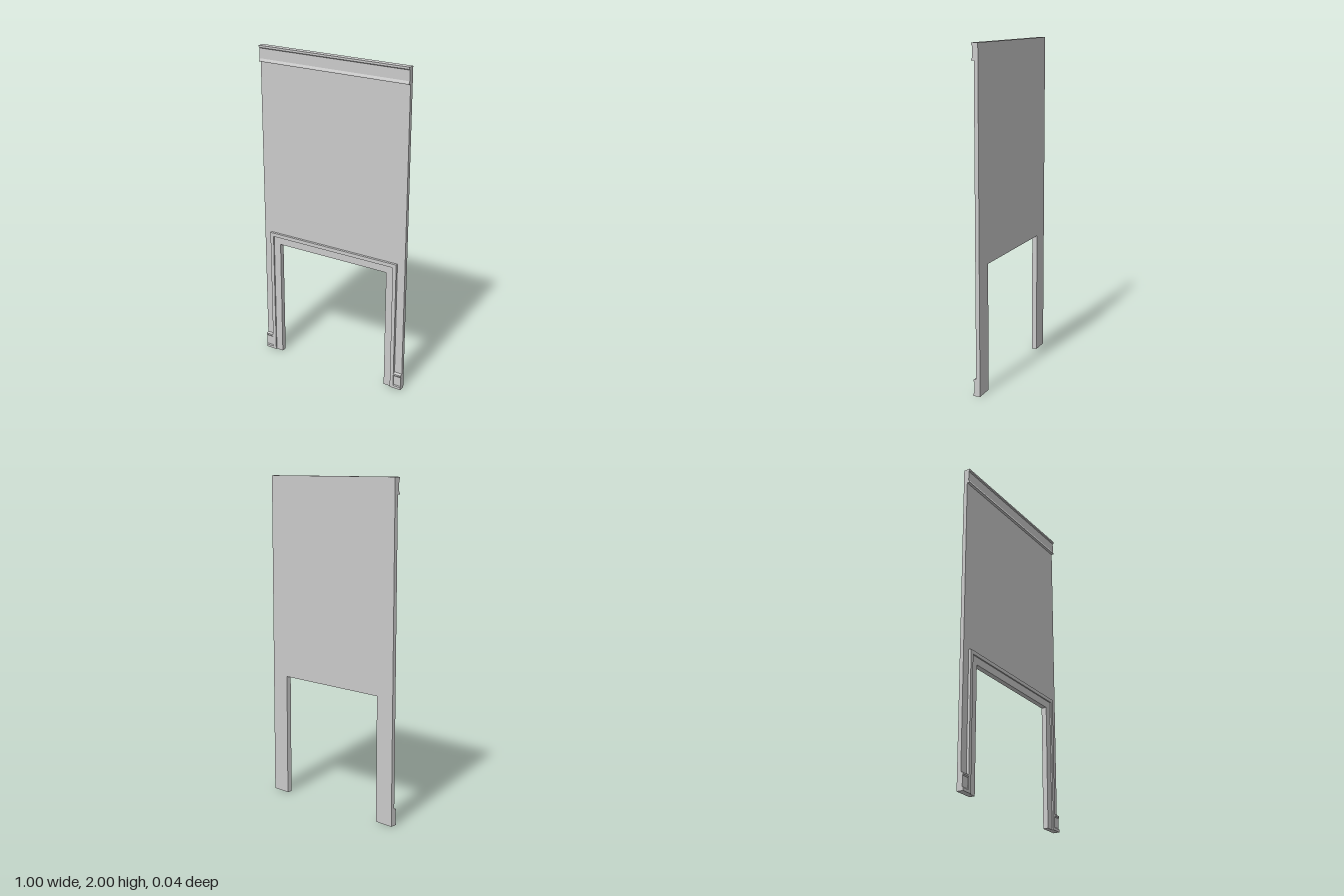
import * as THREE from 'three';

const BACK = -0.02, WALL = 0.004, FRONT = 0.02;
const material = new THREE.MeshStandardMaterial({ color: 0xcccccc, flatShading: true });

function addMesh(group, name, geometry) {
  const mesh = new THREE.Mesh(geometry, material);
  mesh.name = name;
  group.add(mesh);
}

// Upright arch: outer rectangle with an opening that reaches the floor
function arch(outerX, outerY, innerX, innerY, z0, z1) {
  const shape = new THREE.Shape([
    [-outerX, 0], [-innerX, 0], [-innerX, innerY], [innerX, innerY],
    [innerX, 0], [outerX, 0], [outerX, outerY], [-outerX, outerY],
  ].map(([x, y]) => new THREE.Vector2(x, y)));
  const geometry = new THREE.ExtrudeGeometry(shape, { depth: z1 - z0, bevelEnabled: false });
  return geometry.translate(0, 0, z0);
}

// Moulding: a (z, y) profile swept along x from x0 to x1
function moulding(profile, x0, x1) {
  const shape = new THREE.Shape(profile.map(([z, y]) => new THREE.Vector2(-z, y)));
  const geometry = new THREE.ExtrudeGeometry(shape, { depth: x1 - x0, bevelEnabled: false });
  return geometry.rotateY(Math.PI / 2).translate(x0, 0, 0);
}

export function createModel() {
  const group = new THREE.Group();
  group.name = 'doorwayWall';

  // Wall panel with the door opening
  addMesh(group, 'wallPanel', arch(0.5, 2, 0.38, 0.757, BACK, WALL));

  // Door casing: flat inner band and raised outer band
  addMesh(group, 'casingInnerBand', arch(0.427, 0.803, 0.38, 0.757, WALL, 0.012));
  addMesh(group, 'casingOuterBand', arch(0.45, 0.826, 0.427, 0.803, WALL, FRONT));

  // Cornice along the top edge
  addMesh(group, 'cornice', moulding([
    [WALL, 2], [FRONT, 2], [FRONT, 1.988], [0.014, 1.983],
    [0.014, 1.922], [FRONT, 1.91], [FRONT, 1.904], [WALL, 1.904],
  ], -0.5, 0.5));

  // Short skirting pieces on both sides of the casing
  const skirting = [
    [WALL, 0], [FRONT, 0], [FRONT, 0.016], [0.015, 0.022],
    [0.015, 0.083], [FRONT, 0.089], [FRONT, 0.098], [WALL, 0.104],
  ];
  addMesh(group, 'leftSkirting', moulding(skirting, 0.45, 0.5));
  addMesh(group, 'rightSkirting', moulding(skirting, -0.5, -0.45));

  return group;
}
